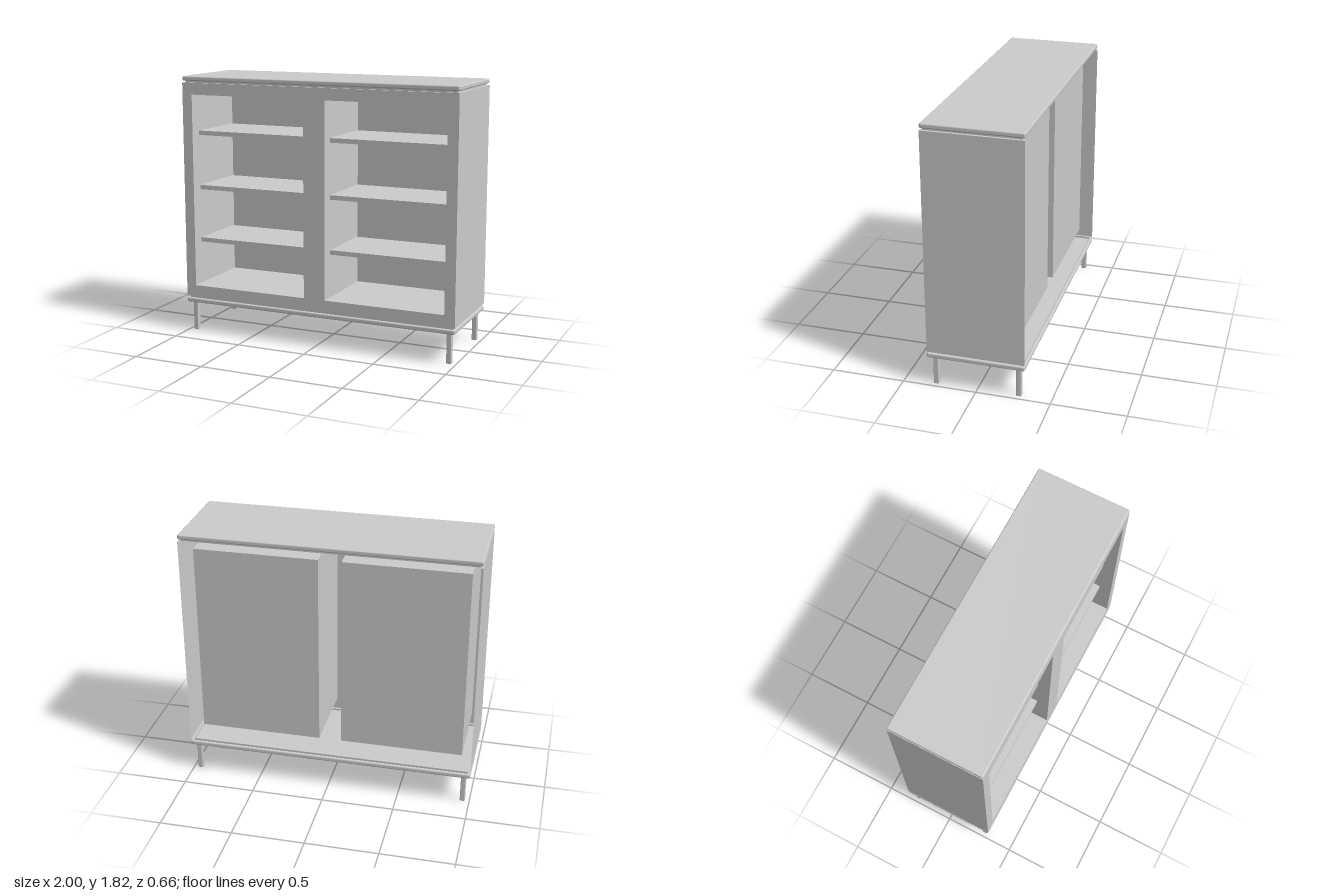
import * as THREE from 'three';
import { RoundedBoxGeometry } from 'three/addons/geometries/RoundedBoxGeometry.js';

const W = 2, D = 0.658, Y0 = 0.254, Y1 = 1.773;   // carcass size
const RING_W = 1.964, RING_D = 0.624;             // recessed shadow-gap rings
const HOLE = { x: 0.5025, w: 0.849, y0: 0.337, y1: 1.692 };
const BACK_Z = -0.24, FRONT_Z = D / 2;

export function createModel() {
  const model = new THREE.Group();
  const solid = new THREE.MeshStandardMaterial({ color: 0xcccccc });
  const thin = new THREE.MeshStandardMaterial({ color: 0xcccccc, side: THREE.DoubleSide });

  const add = (name, geometry, material, x = 0, y = 0, z = 0) => {
    const mesh = new THREE.Mesh(geometry, material);
    mesh.name = name;
    mesh.position.set(x, y, z);
    model.add(mesh);
    return mesh;
  };

  // Thin-walled box keeping only the listed faces (0..5 = +x -x +y -y +z -z)
  const walls = (w, h, d, faces) => {
    const g = new THREE.BoxGeometry(w, h, d);
    const index = Array.from(g.index.array);
    g.setIndex(faces.flatMap((f) => index.slice(f * 6, f * 6 + 6)));
    g.clearGroups();
    return g;
  };

  const rectPoints = (x0, y0, x1, y1) =>
    [[x0, y0], [x1, y0], [x1, y1], [x0, y1]].map(([x, y]) => new THREE.Vector2(x, y));

  // Top and base slabs with softened edges
  add('topSlab', new RoundedBoxGeometry(W, 0.032, D, 3, 0.009), solid, 0, 1.802, 0);
  add('baseSlab', new RoundedBoxGeometry(W, 0.032, D, 3, 0.009), solid, 0, 0.225, 0);

  // Recessed rings between the slabs and the carcass
  add('topRing', walls(RING_W, 0.014, RING_D, [0, 1, 4, 5]), thin, 0, 1.7795, 0);
  add('baseRing', walls(RING_W, 0.014, RING_D, [0, 1, 4, 5]), thin, 0, 0.2475, 0);

  // Carcass sides, open at the back
  add('sidePanels', walls(W, Y1 - Y0, D, [0, 1]), thin, 0, (Y0 + Y1) / 2, 0);

  // Front frame with two openings
  const frame = new THREE.Shape(rectPoints(-W / 2, Y0, W / 2, Y1));
  for (const s of [-1, 1]) {
    const cx = s * HOLE.x, half = HOLE.w / 2;
    frame.holes.push(new THREE.Path(rectPoints(cx - half, HOLE.y0, cx + half, HOLE.y1)));
  }
  add('frontFrame', new THREE.ShapeGeometry(frame), thin, 0, 0, FRONT_Z);

  // Narrow U-shaped lips joining the carcass to the rings
  const rx = RING_W / 2, rz = RING_D / 2, hx = W / 2, hz = D / 2;
  const lip = new THREE.Shape([
    [-hx, -hz], [hx, -hz], [hx, hz], [rx, hz], [rx, -rz], [-rx, -rz], [-rx, hz], [-hx, hz],
  ].map(([x, y]) => new THREE.Vector2(x, y)));
  for (const [name, y] of [['topLip', Y1], ['baseLip', Y0]]) {
    add(name, new THREE.ShapeGeometry(lip), thin, 0, y, 0).rotation.x = -Math.PI / 2;
  }

  // Shelf cross-section with a rounded front edge, extruded along x
  const t = 0.031, shelfFront = 0.238;
  const section = new THREE.Shape();
  section.moveTo(BACK_Z, -t / 2);
  section.lineTo(shelfFront - t / 2, -t / 2);
  section.absarc(shelfFront - t / 2, 0, t / 2, -Math.PI / 2, Math.PI / 2, false);
  section.lineTo(BACK_Z, t / 2);
  const shelfGeometry = new THREE.ExtrudeGeometry(section, {
    depth: HOLE.w, bevelEnabled: false, curveSegments: 8,
  });
  shelfGeometry.translate(0, 0, -HOLE.w / 2);
  shelfGeometry.rotateY(-Math.PI / 2);
  shelfGeometry.scale(-1, 1, 1).rotateY(Math.PI); // section front towards +z

  // Two open-fronted compartments with three shelves each
  const depth = FRONT_Z - BACK_Z;
  for (const [side, s] of [['left', 1], ['right', -1]]) {
    add(side + 'Compartment', walls(HOLE.w, HOLE.y1 - HOLE.y0, depth, [0, 1, 2, 3, 5]), thin,
      s * HOLE.x, (HOLE.y0 + HOLE.y1) / 2, (FRONT_Z + BACK_Z) / 2);
    [0.653, 1.032, 1.418].forEach((y, i) => {
      add(side + 'Shelf' + (i + 1), shelfGeometry, thin, s * HOLE.x, y, 0);
    });
  }

  // Four square legs
  const legGeometry = new RoundedBoxGeometry(0.035, 0.212, 0.035, 2, 0.005);
  for (const [side, s] of [['Left', 1], ['Right', -1]]) {
    add('front' + side + 'Leg', legGeometry, solid, s * 0.952, 0.106, 0.281);
    add('back' + side + 'Leg', legGeometry, solid, s * 0.952, 0.106, -0.281);
  }

  return model;
}
